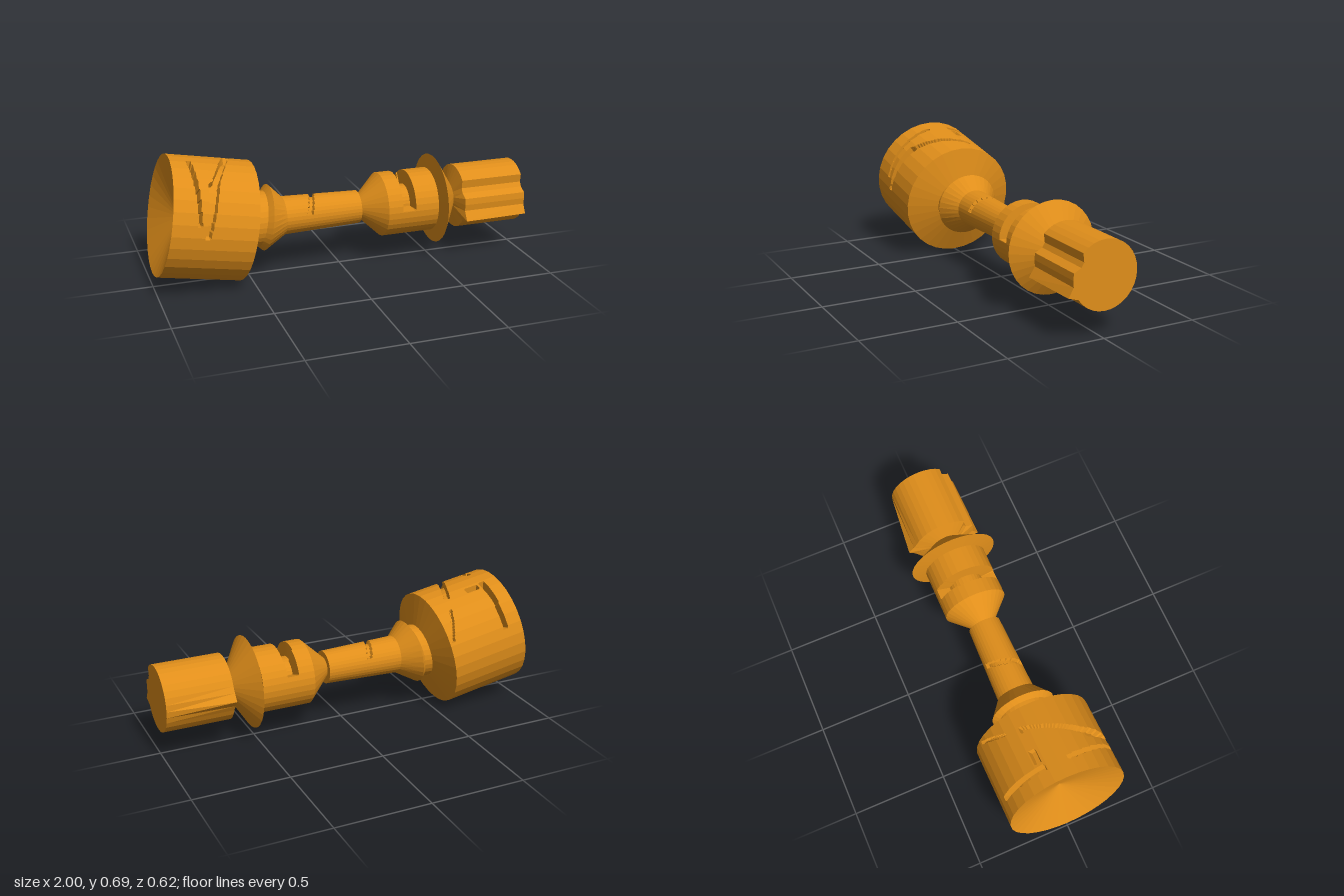
import * as THREE from 'three';

const SIDES = 32;
const AXIS_Y = 0.308;
const TILT = 0.179;
const material = new THREE.MeshStandardMaterial({ color: 0xe08e1a, flatShading: true });

// Depth of the cut at angle a (degrees from the top toward the front) and position x.
// Each groove is a path of [angle, x, width] points.
function cutDepth(grooves, a, x) {
  for (const { path, depth } of grooves) {
    for (let i = 0; i + 1 < path.length; i++) {
      const [a0, x0, w0] = path[i], [a1, x1, w1] = path[i + 1];
      if (a < a0 || a > a1) continue;
      const t = (a - a0) / (a1 - a0);
      if (Math.abs(x - x0 - (x1 - x0) * t) < (w0 + (w1 - w0) * t) / 2) return depth;
    }
  }
  return 0;
}

// Skin over rings [x, y, radius, tilt, steps to next ring]; radius may be a function of the side index.
function loft(name, rings, grooves = []) {
  const sub = grooves.length ? 8 : 1;
  const n = SIDES * sub;
  const rows = [];
  rings.forEach((r, i) => {
    const next = rings[i + 1];
    const steps = next ? r[4] || 1 : 1;
    for (let k = 0; k < steps; k++) {
      const t = k / steps;
      rows.push({
        v: t ? [0, 1, 2, 3].map(j => r[j] + (next[j] - r[j]) * t) : r,
        inner: t > 0,
      });
    }
  });
  const pos = [], index = [];
  for (const { v: [x, y, r, tilt], inner } of rows) {
    for (let j = 0; j <= n; j++) {
      const a = (j % n) / n * Math.PI * 2;
      const step = Math.PI * 2 / SIDES;
      const local = (a % step) - step / 2;
      let rad = typeof r === 'function' ? r(j % n) : r;
      if (sub > 1) rad *= Math.cos(step / 2) / Math.cos(local);
      let deg = a * 180 / Math.PI;
      if (deg > 180) deg -= 360;
      if (inner) rad -= cutDepth(grooves, deg, x);
      const h = rad * Math.cos(a);
      pos.push(x + h * Math.sin(tilt), y + h * Math.cos(tilt), rad * Math.sin(a));
    }
  }
  for (let i = 0; i + 1 < rows.length; i++) {
    for (let j = 0; j < n; j++) {
      const p = i * (n + 1) + j, q = p + n + 1;
      index.push(p, p + 1, q, p + 1, q + 1, q);
    }
  }
  const geo = new THREE.BufferGeometry();
  geo.setAttribute('position', new THREE.Float32BufferAttribute(pos, 3));
  geo.setIndex(index);
  geo.computeVertexNormals();
  const mesh = new THREE.Mesh(geo, material);
  mesh.name = name;
  return mesh;
}

export function createModel() {
  const group = new THREE.Group();
  group.name = 'handle';
  const straight = (x, r, steps) => [x, AXIS_Y, r, 0, steps];
  // Ring at distance s along the tilted axis of the head
  const onHead = (s, r, steps) =>
    [-0.945 + s * Math.cos(TILT), 0.385 - s * Math.sin(TILT), r, TILT, steps];
  const headPath = pts => pts.map(([a, s, w]) => [a, -0.945 + s * Math.cos(TILT), w]);

  // Tilted drum with a dished end, a sloped shoulder and engraved slots
  group.add(loft('head', [
    onHead(0.1, 0), onHead(0, 0.31), onHead(0.002, 0.31, 70), onHead(0.43, 0.31),
    onHead(0.48, 0.145), onHead(0.48, 0),
  ], [
    { depth: 0.045, path: headPath([[-70, 0.097, 0.024], [-13, 0.093, 0.03]]) },
    { depth: 0.045, path: headPath([[9, 0.092, 0.02], [79, 0.137, 0.014]]) },
    { depth: 0.03, path: headPath([[-20, 0.165, 0.07], [-15, 0.165, 0.07]]) },
    { depth: 0.035, path: headPath([[-19, 0.323, 0.03], [37, 0.212, 0.035]]) },
    { depth: 0.035, path: headPath([[37, 0.205, 0.05], [90, 0.183, 0.02]]) },
    { depth: 0.02, path: headPath([[-64, 0.408, 0.014], [-33, 0.345, 0.014]]) },
  ]));

  // Collar flaring out of the head and narrowing to the grip
  group.add(loft('collar', [
    onHead(0.46, 0.145), [-0.43, 0.305, 0.145, TILT],
    [-0.405, 0.309, 0.172, 0.15], straight(-0.31, 0.1),
  ]));

  // Slim grip with one slanted slot
  group.add(loft('grip', [
    straight(-0.31, 0.1, 60), straight(0.1, 0.087), straight(0.1, 0),
  ], [{ depth: 0.018, path: [[-65, -0.13, 0.025], [80, -0.185, 0.025]] }]));

  // Barrel with a deep notch across its top
  group.add(loft('barrel', [
    straight(0.1, 0), straight(0.1, 0.055), straight(0.22, 0.17, 50),
    straight(0.5, 0.17), straight(0.5, 0.1), straight(0.52, 0.1),
  ], [{ depth: 0.075, path: [[-70, 0.335, 0.06], [50, 0.335, 0.065], [88, 0.335, 0.07]] }]));

  // Sharp-edged disc
  group.add(loft('guard', [
    straight(0.512, 0), straight(0.512, 0.12), straight(0.525, 0.24), straight(0.625, 0.08),
  ]));

  // Pommel with a lengthwise groove and two ridges
  const outline = (ridges) => j => ({ 5: 0.139, 6: 0.14, ...ridges })[j] ?? 0.171;
  const inner = outline({ 10: 0.216, 23: 0.18, 24: 0.207, 25: 0.18 });
  const outer = outline({ 10: 0.21 });
  group.add(loft('pommel', [
    straight(0.615, 0.08), straight(0.625, 0.08), straight(0.653, inner),
    straight(1, outer), straight(1, 0),
  ]));
  return group;
}
